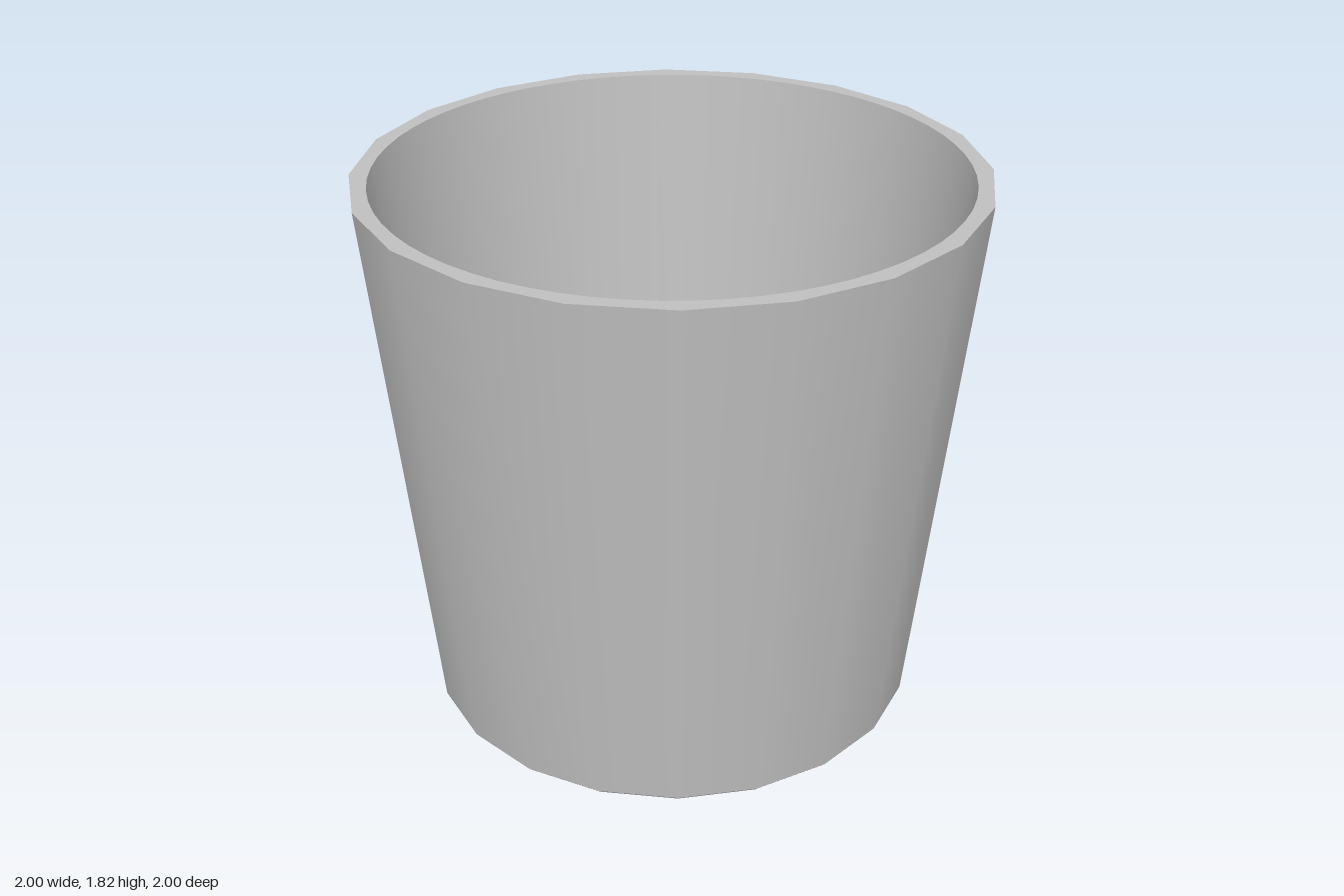
import * as THREE from 'three';

const OUTER_SIDES = 20, INNER_SIDES = 64, HOLE_SIDES = 24;
const HEIGHT = 1.815, FLOOR_Y = 0.065;
const RIM_OUT = 1, RIM_IN = 0.94, FLOOR_R = 0.765, BASE_R = 0.805;
const HOLE_R = 0.055, HOLE_RING = 0.36;

// Points of a regular polygon with a corner on +x
function ring(radius, sides, cx = 0, cy = 0) {
  return Array.from({ length: sides }, (_, i) => {
    const a = (i / sides) * Math.PI * 2;
    return new THREE.Vector2(cx + radius * Math.cos(a), cy + radius * Math.sin(a));
  });
}

// Horizontal plate with holes, facing up or down
function plate(outline, holes, y, up) {
  const shape = new THREE.Shape(outline);
  shape.holes = holes.map((points) => new THREE.Path(points));
  return new THREE.ShapeGeometry(shape).rotateX(up ? -Math.PI / 2 : Math.PI / 2).translate(0, y, 0);
}

// Round surface between two (radius, y) points; rising faces out, falling faces in
function band(r1, y1, r2, y2, sides) {
  return new THREE.LatheGeometry([new THREE.Vector2(r1, y1), new THREE.Vector2(r2, y2)], sides);
}

export function createModel() {
  const group = new THREE.Group();
  group.name = 'plantPot';
  const grey = new THREE.MeshStandardMaterial({ color: 0xc0c0c0 });
  grey.name = 'grey';
  const add = (name, geometry) => {
    const mesh = new THREE.Mesh(geometry, grey);
    mesh.name = name;
    group.add(mesh);
    return mesh;
  };

  // Drain holes: one in the middle and five around it
  const centres = [[0, 0]];
  for (let i = 0; i < 5; i++) {
    const a = (i / 5) * Math.PI * 2;
    centres.push([HOLE_RING * Math.cos(a), HOLE_RING * Math.sin(a)]);
  }
  const holes = centres.map(([x, z]) => ring(HOLE_R, HOLE_SIDES, x, z));

  // Tapered walls, bottom chamfer and rim
  add('outerWall', band(0.82, 0.015, RIM_OUT, HEIGHT, OUTER_SIDES));
  add('bottomChamfer', band(BASE_R, 0, 0.82, 0.015, OUTER_SIDES));
  add('innerWall', band(RIM_IN, HEIGHT, FLOOR_R, FLOOR_Y, INNER_SIDES));
  add('rim', plate(ring(RIM_OUT, OUTER_SIDES), [ring(RIM_IN, INNER_SIDES)], HEIGHT, true));

  // Floor seen from inside and from below
  add('innerFloor', plate(ring(FLOOR_R, INNER_SIDES), holes, FLOOR_Y, true));
  add('underside', plate(ring(BASE_R, OUTER_SIDES), holes, 0, false));

  // Walls of the drain holes
  const holeWall = band(HOLE_R, FLOOR_Y, HOLE_R, 0, HOLE_SIDES);
  for (const [x, z] of centres) add('drainHole', holeWall).position.set(x, 0, z);

  return group;
}
